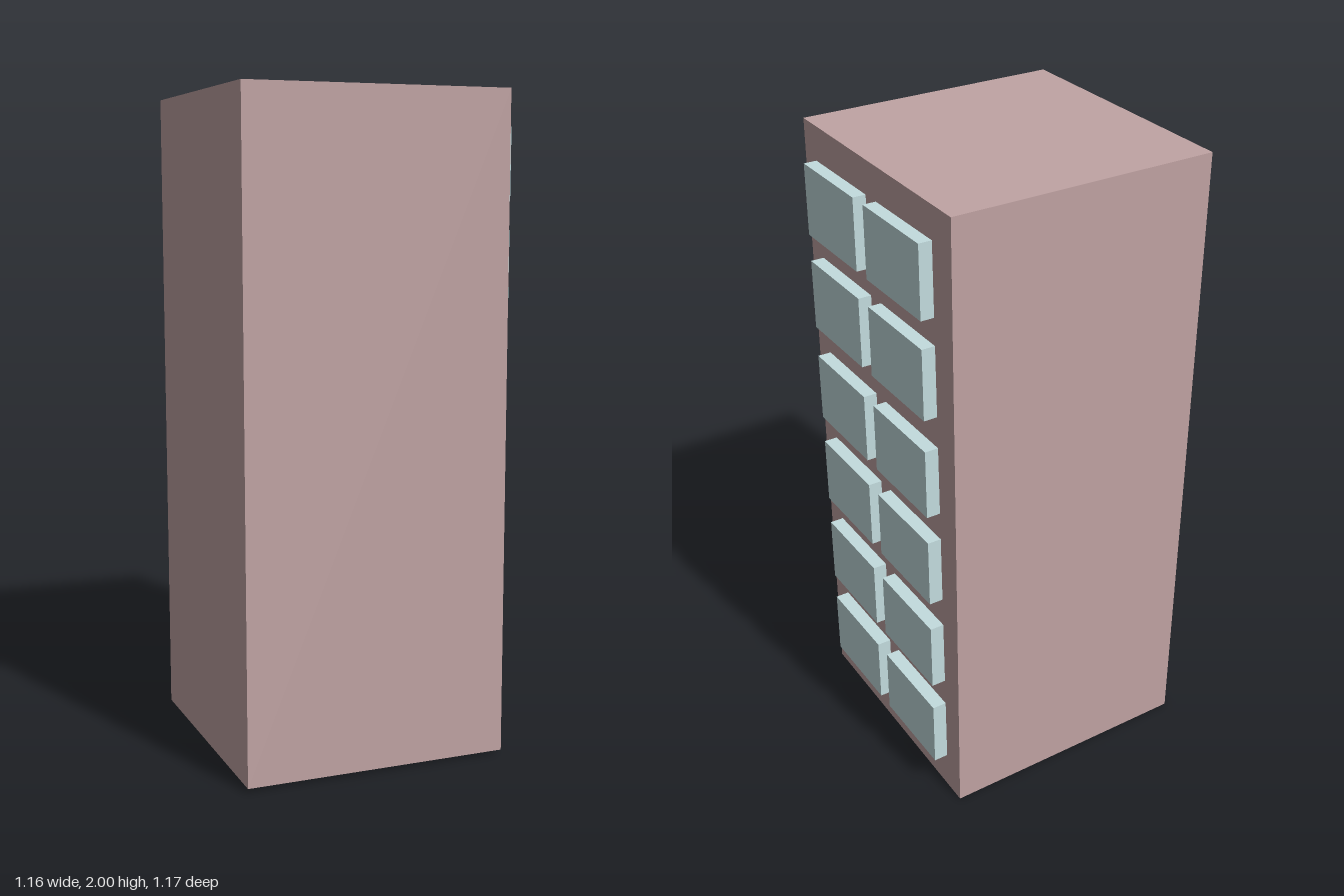
import * as THREE from 'three';

export function createModel() {
  const model = new THREE.Group();
  model.name = 'towerBlock';
  const wallMaterial = new THREE.MeshStandardMaterial({ color: 0xc0a3a3, flatShading: true });
  const glassMaterial = new THREE.MeshStandardMaterial({ color: 0xc3dcde, flatShading: true });
  const yaw = 2.285; // turns local +z to the windowed back-left face

  // Square tower, leaning very slightly
  const tower = new THREE.Mesh(new THREE.BoxGeometry(0.818, 1.989, 0.818), wallMaterial);
  tower.name = 'tower';
  tower.position.y = 1;
  const lean = new THREE.Quaternion().setFromUnitVectors(
    new THREE.Vector3(0, 1, 0), new THREE.Vector3(-0.0055, 1, -0.01).normalize());
  tower.quaternion.setFromAxisAngle(new THREE.Vector3(0, 1, 0), yaw).premultiply(lean);
  model.add(tower);

  // Two columns of upright window blocks, six storeys
  const windows = new THREE.Group();
  windows.name = 'windows';
  windows.rotation.y = yaw;
  const depth = 0.06, outerFace = 0.451;
  const paneGeometry = new THREE.BoxGeometry(0.298, 0.218, depth);
  for (const y of [0.236, 0.545, 0.858, 1.165, 1.482, 1.783]) {
    for (const x of [0.174, -0.182]) {
      const pane = new THREE.Mesh(paneGeometry, glassMaterial);
      pane.name = 'window';
      pane.position.set(x, y, outerFace - depth / 2);
      windows.add(pane);
    }
  }
  model.add(windows);
  return model;
}
